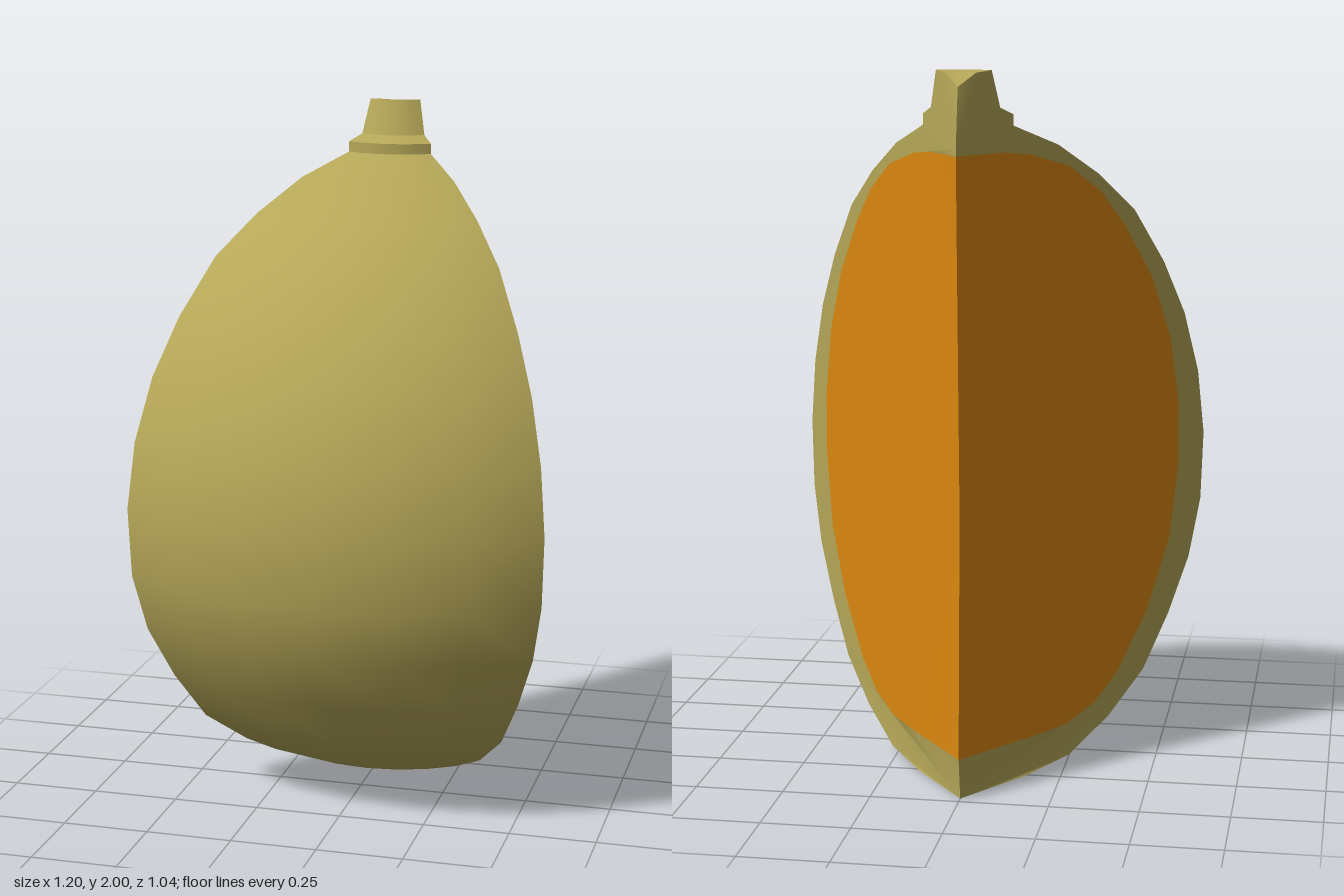
import * as THREE from 'three';
import { toCreasedNormals } from 'three/addons/utils/BufferGeometryUtils.js';

const AXIS_Z = -0.5;
const HALF = Math.PI / 5; // the wedge is a fifth of the fruit

// Profiles as [radius, height]; radii under 0.03 are points on the inner edge
const body = [
  [0.025, 0], [0.26, 0.01], [0.44, 0.03], [0.61, 0.11], [0.76, 0.22], [0.87, 0.37],
  [0.96, 0.53], [1.01, 0.7], [1.02, 0.9], [0.99, 1.09], [0.925, 1.27], [0.83, 1.43],
  [0.7, 1.59], [0.55, 1.7], [0.385, 1.79], [0.21, 1.85],
];
const stem = [
  [0.21, 1.85], [0.21, 1.88], [0.16, 1.9], [0.128, 2], [0.07, 1.995], [0.01, 1.96],
];
const fleshCurve = [
  [-0.02, 1.78], [0.17, 1.78], [0.27, 1.77], [0.43, 1.73], [0.56, 1.65], [0.66, 1.55],
  [0.78, 1.39], [0.865, 1.2], [0.905, 1], [0.907, 0.82], [0.87, 0.6], [0.775, 0.4],
  [0.65, 0.24], [0.55, 0.165], [0.43, 0.125], [0.28, 0.12], [0, 0.12],
];

const points = (list) => list.map(([r, y]) => new THREE.Vector2(r, y));

// Sets the fruit axis, keeping points near it on the wobbly inner edge (x = 0)
function placeOnAxis(geometry) {
  const p = geometry.attributes.position;
  for (let i = 0; i < p.count; i++) {
    const x = p.getX(i), z = p.getZ(i), r = Math.hypot(x, z);
    if (r < 0.03) p.setXYZ(i, 0, p.getY(i), AXIS_Z + (z < 0 ? -r : r));
    else p.setZ(i, z + AXIS_Z);
  }
  return geometry;
}

// Outer skin swept through the wedge angle
const sweep = (profile) =>
  placeOnAxis(new THREE.LatheGeometry(points(profile), 6, -HALF, 2 * HALF));

// Flat cut face on one side of the wedge (side = 1 or -1)
function cutFace(outline, side) {
  const g = new THREE.ShapeGeometry(new THREE.Shape(points(outline)));
  const p = g.attributes.position;
  for (let i = 0; i < p.count; i++) {
    const r = p.getX(i);
    p.setXYZ(i, r * side * Math.sin(HALF), p.getY(i), r * Math.cos(HALF));
  }
  if (side > 0) g.index.array.reverse();
  placeOnAxis(g);
  g.computeVertexNormals();
  return g;
}

export function createModel() {
  const rind = new THREE.MeshStandardMaterial({ color: 0xb5a758 });
  rind.name = 'rind olive';
  const flesh = new THREE.MeshStandardMaterial({ color: 0xdb8810 });
  flesh.name = 'flesh orange';

  const group = new THREE.Group();
  group.name = 'fruitWedge';
  const add = (name, geometry, material) => {
    const mesh = new THREE.Mesh(geometry, material);
    mesh.name = name;
    group.add(mesh);
  };

  // Curved skin and stem stub
  add('skin', sweep(body), rind);
  add('stem', toCreasedNormals(sweep(stem), 0.6), rind);

  // Cut faces: a rind border around the flesh
  const rindOutline = [...body, ...stem.slice(1), [-0.02, 1.8], ...fleshCurve];
  const fleshOutline = [...fleshCurve, [0.025, 0.8]];
  for (const [label, side] of [['left', 1], ['right', -1]]) {
    add(label + 'RindCut', cutFace(rindOutline, side), rind);
    add(label + 'Flesh', cutFace(fleshOutline, side), flesh);
  }
  return group;
}
